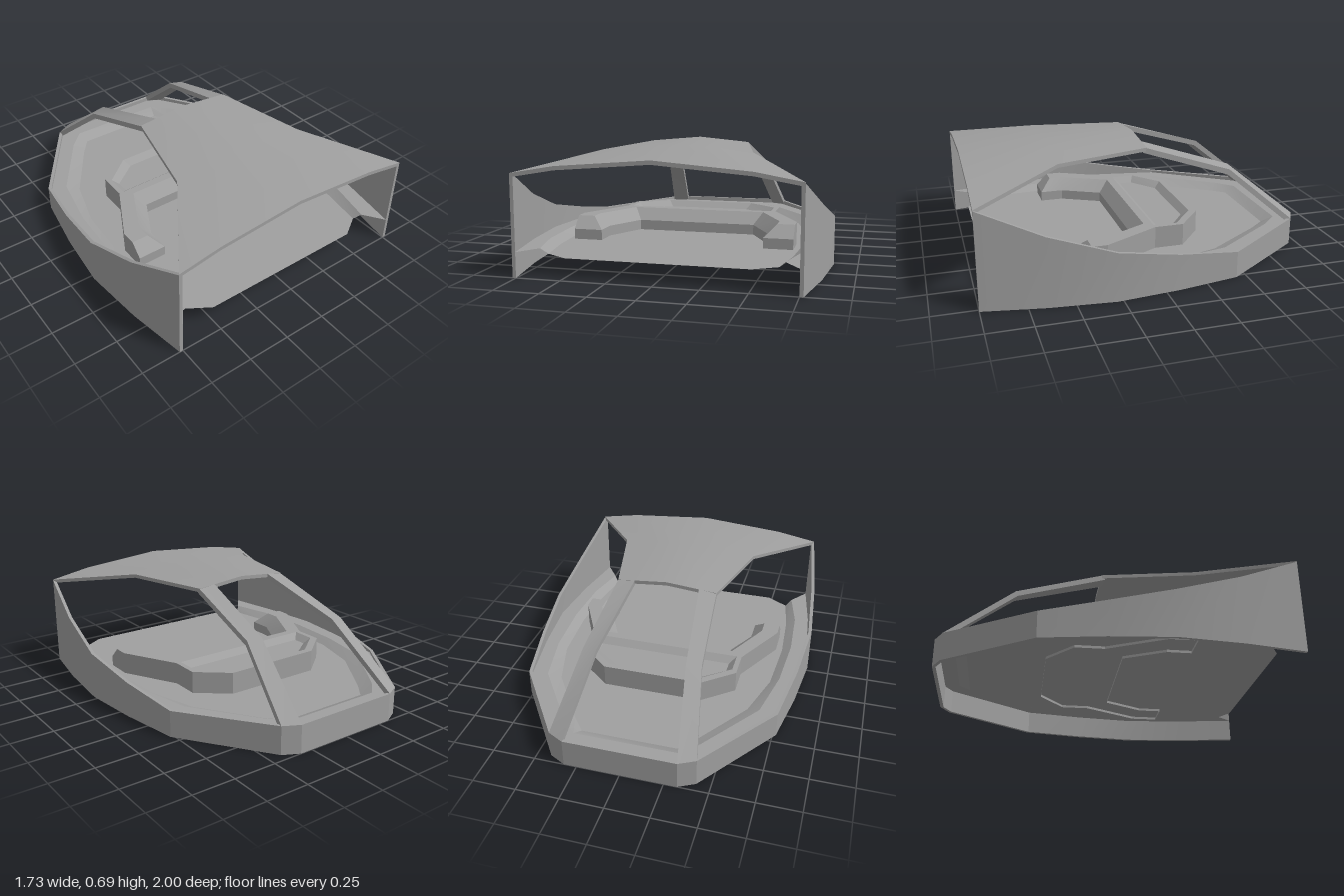
import * as THREE from 'three';
import { toCreasedNormals } from 'three/addons/utils/BufferGeometryUtils.js';

const material = new THREE.MeshStandardMaterial({ color: 0x9f9f9f, side: THREE.DoubleSide });

function addMesh(parent, name, geometry) {
  const mesh = new THREE.Mesh(geometry, material);
  mesh.name = name;
  parent.add(mesh);
}

// Joins equal-length cross-sections; optional end caps for four-sided sections
function loft(sections, { closed = true, caps = false, flip = false } = {}) {
  const n = sections[0].length;
  const tris = [];
  const quad = (a, b, c, d) => tris.push([a, b, c], [a, c, d]);
  for (let i = 0; i < sections.length - 1; i++) {
    const s = sections[i], t = sections[i + 1];
    for (let j = 0; j < (closed ? n : n - 1); j++) {
      const k = (j + 1) % n;
      quad(s[j], s[k], t[k], t[j]);
    }
  }
  if (caps) {
    quad(...[...sections[0]].reverse());
    quad(...sections[sections.length - 1]);
  }
  // Turn the faces of a solid outward when its enclosed volume is negative
  const volume = tris.reduce((sum, [a, b, c]) => {
    const va = new THREE.Vector3(...a), vb = new THREE.Vector3(...b), vc = new THREE.Vector3(...c);
    return sum + va.dot(vb.cross(vc));
  }, 0);
  if (flip || (caps && volume < 0)) tris.forEach(t => t.reverse());
  const geometry = new THREE.BufferGeometry();
  geometry.setAttribute('position', new THREE.Float32BufferAttribute(tris.flat(2), 3));
  return toCreasedNormals(geometry, 0.4);
}

// Half outline of [x, z] (or [x, z, y]) points, continued on the other side
const mirror = half => [...half, ...[...half].reverse().map(([x, ...rest]) => [-x, ...rest])];
const atHeight = (outline, y) => outline.map(([x, z]) => [x, y, z]);

// Flat horizontal panel, optionally with a hole
function panel(outline, y, hole) {
  const points = list => list.map(([x, z]) => new THREE.Vector2(x, -z));
  const shape = new THREE.Shape(points(outline));
  if (hole) shape.holes.push(new THREE.Path(points(hole)));
  return new THREE.ShapeGeometry(shape).rotateX(-Math.PI / 2).translate(0, y, 0);
}

// Moves an outline inward by its local normal
function inset(outline, amount) {
  return outline.map((p, i) => {
    const a = outline[Math.max(i - 1, 0)], b = outline[Math.min(i + 1, outline.length - 1)];
    const dx = b[0] - a[0], dz = b[1] - a[1], len = Math.hypot(dx, dz);
    return [p[0] + (dz / len) * amount, p[1] - (dx / len) * amount];
  });
}

export function createModel() {
  const model = new THREE.Group();
  model.name = 'cockpit';

  // Hull wall: x, z and rim height from the front corner round the rear
  const hull = mirror([
    [0.77, 1, 0.555], [0.83, 0.65, 0.4], [0.865, 0.28, 0.28], [0.83, -0.08, 0.21],
    [0.77, -0.44, 0.155], [0.42, -0.95, 0.165], [0.325, -1, 0.165],
  ]);
  const inner = inset(hull, 0.02);
  inner[0][1] = inner[inner.length - 1][1] = 1;
  addMesh(model, 'hullWall', loft(hull.map(([x, z, y], i) => {
    const [ix, iz] = inner[i];
    return [[x, 0, z], [x, y, z], [ix, y, iz], [ix, 0, iz]];
  }), { caps: true }));

  // Cabin floor: side ledge, bevel and flat middle, notched at the front corners
  const bevelTop = mirror([
    [0.665, 0.88], [0.725, 0.62], [0.745, 0.28], [0.725, -0.08], [0.66, -0.41], [0.4, -0.79], [0.3, -0.89],
  ]);
  const bevelFoot = mirror([
    [0.63, 0.85], [0.67, 0.6], [0.69, 0.28], [0.67, -0.08], [0.585, -0.38], [0.36, -0.72], [0.28, -0.82],
  ]);
  const floorHeight = 0.105, ledgeHeight = 0.14;
  addMesh(model, 'floorLedge', loft(
    [atHeight(bevelFoot, floorHeight), atHeight(bevelTop, ledgeHeight), atHeight(inner, ledgeHeight)],
    { closed: false }));
  addMesh(model, 'floor', panel([[0.5, 0.93], ...bevelFoot, [-0.5, 0.93]], floorHeight));

  // Console: U-shaped body with a chamfered inner edge
  const back = [[0.65, 0.28], [0.48, -0.05], [0.48, -0.22], [0.3, -0.37]];
  const body = mirror([[0.36, 0.065], [0.48, 0.3], [0.48, 0.44], [0.65, 0.44], ...back]);
  const top = mirror([[0.41, 0], [0.55, 0.28], [0.55, 0.37], [0.65, 0.37], ...back]);
  const trayRim = mirror([[0.45, -0.05], [0.45, -0.19], [0.28, -0.33]]);
  const trayBase = mirror([[0.41, -0.09], [0.41, -0.17], [0.25, -0.29]]);
  const consoleGroup = new THREE.Group();
  consoleGroup.name = 'console';
  model.add(consoleGroup);
  addMesh(consoleGroup, 'consoleSides', loft(
    [atHeight(body, 0.09), atHeight(body, 0.165), atHeight(top, 0.235)]));
  addMesh(consoleGroup, 'consoleTop', panel(top, 0.235, trayRim));
  addMesh(consoleGroup, 'trayEdge', loft([atHeight(trayBase, 0.2), atHeight(trayRim, 0.235)]));
  addMesh(consoleGroup, 'trayBase', panel(trayBase, 0.2));

  // Roof: crowned sections of x, y narrowing toward the rear
  const roofSections = [
    { z: 1, half: [[0.77, 0.56], [0.52, 0.603], [0, 0.645]] },
    { z: 0.5, half: [[0.43, 0.65], [0.25, 0.667], [0, 0.683]] },
    { z: -0.05, half: [[0.305, 0.662], [0.2, 0.672], [0, 0.69]] },
  ];
  const crown = roofSections.map(({ z, half }) =>
    [...half, ...half.slice(0, 2).reverse().map(([x, y]) => [-x, y])].map(([x, y]) => [x, y, z]));
  const lowered = line => line.map(([x, y, z]) => [x, y - 0.022, z]);
  addMesh(model, 'roof', loft(crown.map(line => [...line, ...lowered(line).reverse()]), { flip: true }));

  // Roof end strips close the front and rear edges
  for (const [name, i] of [['roofFrontEdge', 0], ['roofRearEdge', 2]]) {
    addMesh(model, name, loft([lowered(crown[i]), crown[i]], { closed: false, flip: i === 0 }));
  }

  // Rear struts: inner and outer edge at each bend
  const strutEdges = [
    [[0.2, 0.672, -0.05], [0.305, 0.662, -0.04]],
    [[0.26, 0.505, -0.58], [0.345, 0.495, -0.56]],
    [[0.325, 0.165, -1], [0.42, 0.165, -0.95]],
  ];
  for (const [name, side] of [['leftStrut', 1], ['rightStrut', -1]]) {
    const sections = strutEdges.map(([a, b]) => {
      const point = ([x, y, z], drop) => [side * x, y - drop, z + drop * 0.4];
      return [point(a, 0), point(b, 0), point(b, 0.03), point(a, 0.03)];
    });
    addMesh(model, name, loft(sections, { caps: true }));
  }

  return model;
}
